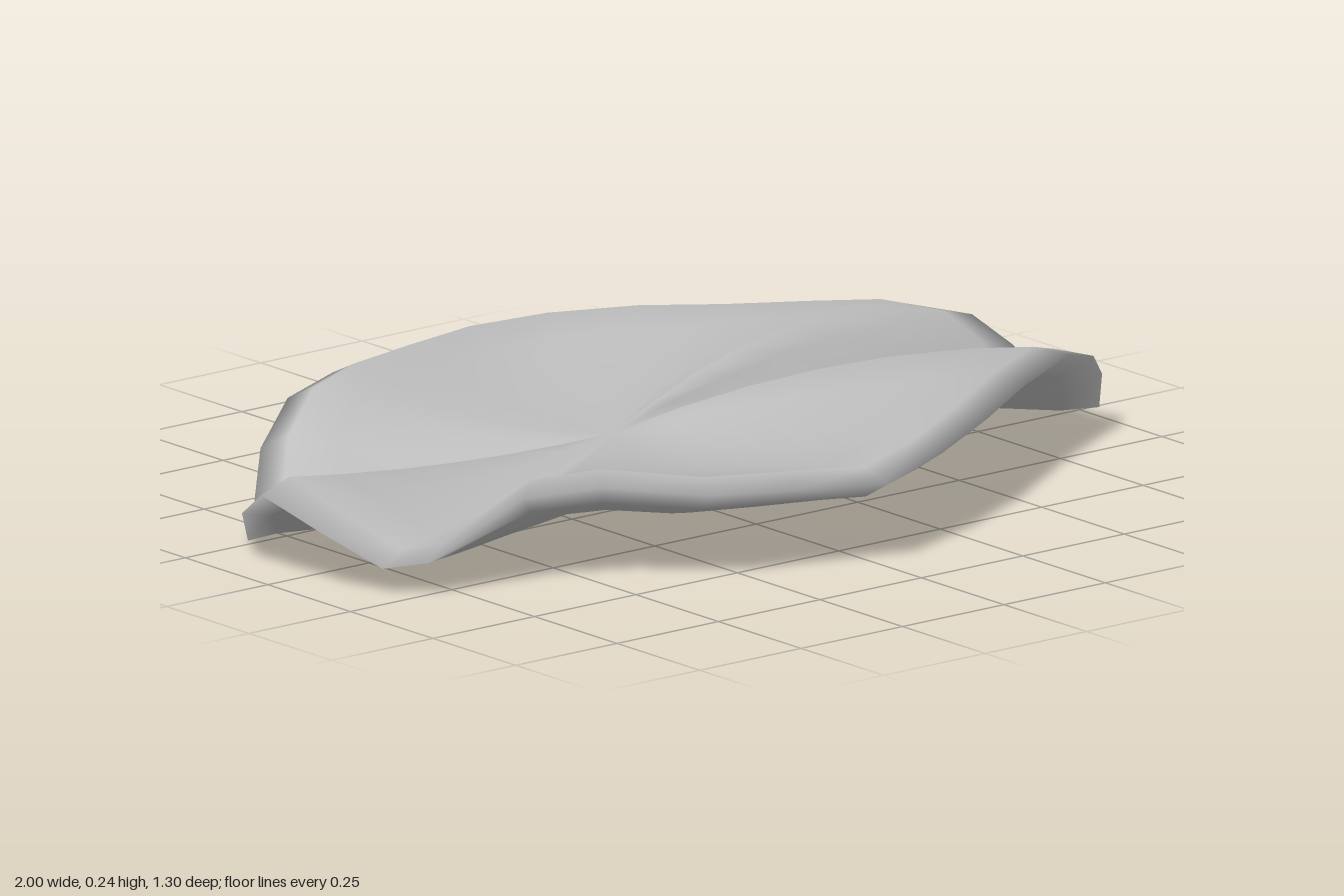
import * as THREE from 'three';

// Wavy lens-shaped leaf: spokes run from a centre to the rim, joined by rings.
// Each spoke: rim x, rim z, rim height, height of the top face part way out.
const SPOKES = [
  [1, -0.005, 0.02, 0.105], [1, 0.06, 0.02, 0.12], [0.95, 0.13, 0.11, 0.16],
  [0.88, 0.19, 0.17, 0.21], [0.78, 0.24, 0.2, 0.24], [0.6, 0.34, 0.2, 0.214],
  [0.37, 0.49, 0.195, 0.19], [0.19, 0.58, 0.18, 0.172], [0, 0.648, 0.165, 0.16],
  [-0.18, 0.6, 0.175, 0.16], [-0.36, 0.555, 0.185, 0.165], [-0.52, 0.42, 0.2, 0.175],
  [-0.65, 0.345, 0.185, 0.165], [-0.82, 0.265, 0.07, 0.1], [-0.88, 0.2, 0.055, 0.095],
  [-0.95, 0.11, 0.115, 0.135], [-1, -0.02, 0.175, 0.17], [-0.95, -0.14, 0.105, 0.12],
  [-0.87, -0.22, 0.02, 0.065], [-0.79, -0.31, 0.002, 0.055], [-0.66, -0.44, 0.12, 0.105],
  [-0.54, -0.505, 0.185, 0.15], [-0.38, -0.565, 0.195, 0.16], [-0.2, -0.605, 0.195, 0.165],
  [0, -0.655, 0.19, 0.168], [0.19, -0.635, 0.19, 0.175], [0.35, -0.53, 0.2, 0.188],
  [0.48, -0.41, 0.205, 0.204], [0.63, -0.32, 0.205, 0.216], [0.77, -0.25, 0.2, 0.24],
  [0.89, -0.19, 0.17, 0.21], [0.95, -0.14, 0.11, 0.16], [1, -0.07, 0.02, 0.12],
];
const CENTRE_X = -0.15, MID = 0.6, EDGE = 0.92;
const RINGS = [0.15, 0.3, 0.45, 0.6, 0.78, EDGE];

// Quadratic through the centre, middle and edge heights.
function bend(t, a, b, c) {
  return a * (t - MID) * (t - EDGE) / (MID * EDGE)
    + b * t * (t - EDGE) / (MID * (MID - EDGE))
    + c * t * (t - MID) / (EDGE * (EDGE - MID));
}

function leafGeometry() {
  const pos = [], index = [], n = SPOKES.length;
  const put = (t, y, [x, z]) => pos.push(CENTRE_X + (x - CENTRE_X) * t, y, z * t);

  // Both faces share the rim vertices, so the edge shades as a soft roll.
  for (const s of SPOKES) put(1, s[2], s);

  for (const top of [true, false]) {
    const centre = pos.length / 3;
    const centreY = top ? 0.155 : 0.05;
    pos.push(CENTRE_X, centreY, 0);
    for (const t of RINGS) {
      for (const s of SPOKES) {
        const [, , rim, topMid] = s;
        // The leaf is thicker where the rim stands high
        const mid = top ? topMid : topMid - 0.03 - 0.25 * rim;
        const edge = top ? rim + 0.025 : rim + 0.008 - 0.3 * Math.max(0, rim - 0.03);
        put(t, Math.max(0, bend(t, centreY, mid, edge)), s);
      }
    }
    const tri = (a, b, c) => (top ? index.push(a, c, b) : index.push(a, b, c));
    const at = (r, i) => (r === RINGS.length ? 0 : centre + 1 + r * n) + (i % n);
    for (let i = 0; i < n; i++) {
      tri(centre, at(0, i), at(0, i + 1));
      for (let r = 0; r < RINGS.length; r++) {
        tri(at(r, i), at(r + 1, i), at(r + 1, i + 1));
        tri(at(r, i), at(r + 1, i + 1), at(r, i + 1));
      }
    }
  }

  const g = new THREE.BufferGeometry();
  g.setAttribute('position', new THREE.Float32BufferAttribute(pos, 3));
  g.setIndex(index);
  g.computeVertexNormals();
  return g;
}

export function createModel() {
  const group = new THREE.Group();
  group.name = 'wavyLeaf';
  const grey = new THREE.MeshStandardMaterial({ color: 0xbcbcbc });
  grey.name = 'grey';
  const leaf = new THREE.Mesh(leafGeometry(), grey);
  leaf.name = 'leafBlade';
  group.add(leaf);
  return group;
}
